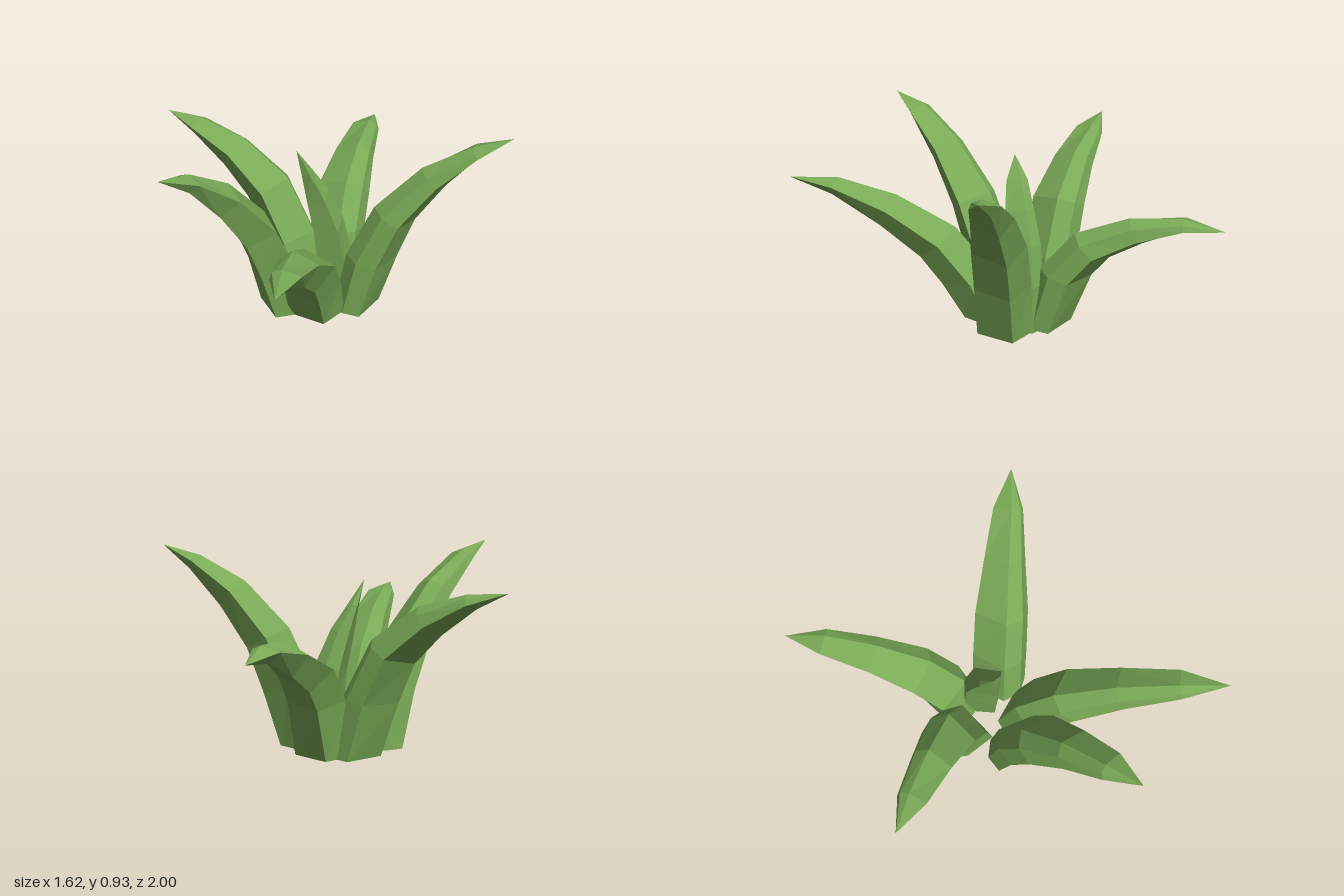
import * as THREE from 'three';

// Five-sided leaf section: u points outward (keel), v points sideways
const SECTION = [[1, -0.4], [0.3, 1], [-0.52, 0.85], [-1, 0.25], [-0.3, -1]];
// Rings along the leaf: distance outward, half thickness, half width, lean of the ring
const ALONG = [0, 0.1, 0.25, 0.5, 0.77, 1];
const THICK = [0.1, 0.115, 0.1, 0.075, 0.035, 0];
const WIDE = [0.125, 0.125, 0.12, 0.092, 0.066, 0];
const LEAN = [0, 0.4, 0.8, 1, 1, 1];

// base and tip are [x, z]; heights gives y at each ring
const LEAVES = [
  { name: 'leftLeaf', base: [0.13, -0.03], tip: [0.81, 0.02], heights: [0.015, 0.28, 0.51, 0.71, 0.85, 0.925] },
  { name: 'frontLeaf', base: [-0.05, 0.07], tip: [-0.11, 0.995], heights: [0.015, 0.21, 0.38, 0.525, 0.63, 0.66] },
  { name: 'frontRightLeaf', base: [-0.21, 0.03], tip: [-0.64, 0.57], heights: [0.015, 0.28, 0.5, 0.71, 0.86, 0.925] },
  { name: 'backRightLeaf', base: [-0.14, -0.185], tip: [-0.815, -0.44], heights: [0.015, 0.28, 0.5, 0.65, 0.745, 0.79] },
  { name: 'backLeaf', base: [0, -0.22], tip: [0.145, -1], heights: [0.015, 0.28, 0.425, 0.52, 0.575, 0.56] },
  { name: 'centreLeaf', base: [0.035, -0.11], tip: [-0.15, -0.05], heights: [0, 0.22, 0.4, 0.55, 0.68, 0.79], scale: 0.78 },
];

function leafGeometry({ base, tip, heights, scale = 1 }) {
  const dx = tip[0] - base[0], dz = tip[1] - base[1];
  const reach = Math.hypot(dx, dz);
  const ox = dx / reach, oz = dz / reach;
  const last = ALONG.length - 1;

  const rings = ALONG.map((t, i) => {
    // Slope of the spine at this ring turns the section's outward axis downward
    const a = Math.max(i - 1, 0), b = Math.min(i + 1, last);
    const slope = Math.atan2((ALONG[b] - ALONG[a]) * reach, heights[b] - heights[a]) * LEAN[i];
    const c = Math.cos(slope), s = Math.sin(slope);
    return SECTION.map(([p, q]) => {
      const u = p * THICK[i] * scale, v = q * WIDE[i] * scale;
      return [
        base[0] + dx * t + ox * u * c - oz * v,
        heights[i] - u * s,
        base[1] + dz * t + oz * u * c + ox * v,
      ];
    });
  });

  const positions = [];
  const face = (...corners) => corners.forEach((p) => positions.push(...p));
  const n = SECTION.length;
  for (let i = 0; i < last; i++) {
    for (let j = 0; j < n; j++) {
      const k = (j + 1) % n;
      const [a, b, c, d] = [rings[i][k], rings[i][j], rings[i + 1][j], rings[i + 1][k]];
      face(a, b, c);
      if (i < last - 1) face(a, c, d);
    }
  }
  // Flat foot of the leaf
  for (let j = 1; j < n - 1; j++) face(rings[0][0], rings[0][j], rings[0][j + 1]);

  const geometry = new THREE.BufferGeometry();
  geometry.setAttribute('position', new THREE.Float32BufferAttribute(positions, 3));
  geometry.computeVertexNormals();
  return geometry;
}

export function createModel() {
  const plant = new THREE.Group();
  plant.name = 'plant';
  const green = new THREE.MeshStandardMaterial({ color: 0x79a956, flatShading: true });
  for (const leaf of LEAVES) {
    const mesh = new THREE.Mesh(leafGeometry(leaf), green);
    mesh.name = leaf.name;
    plant.add(mesh);
  }
  return plant;
}
